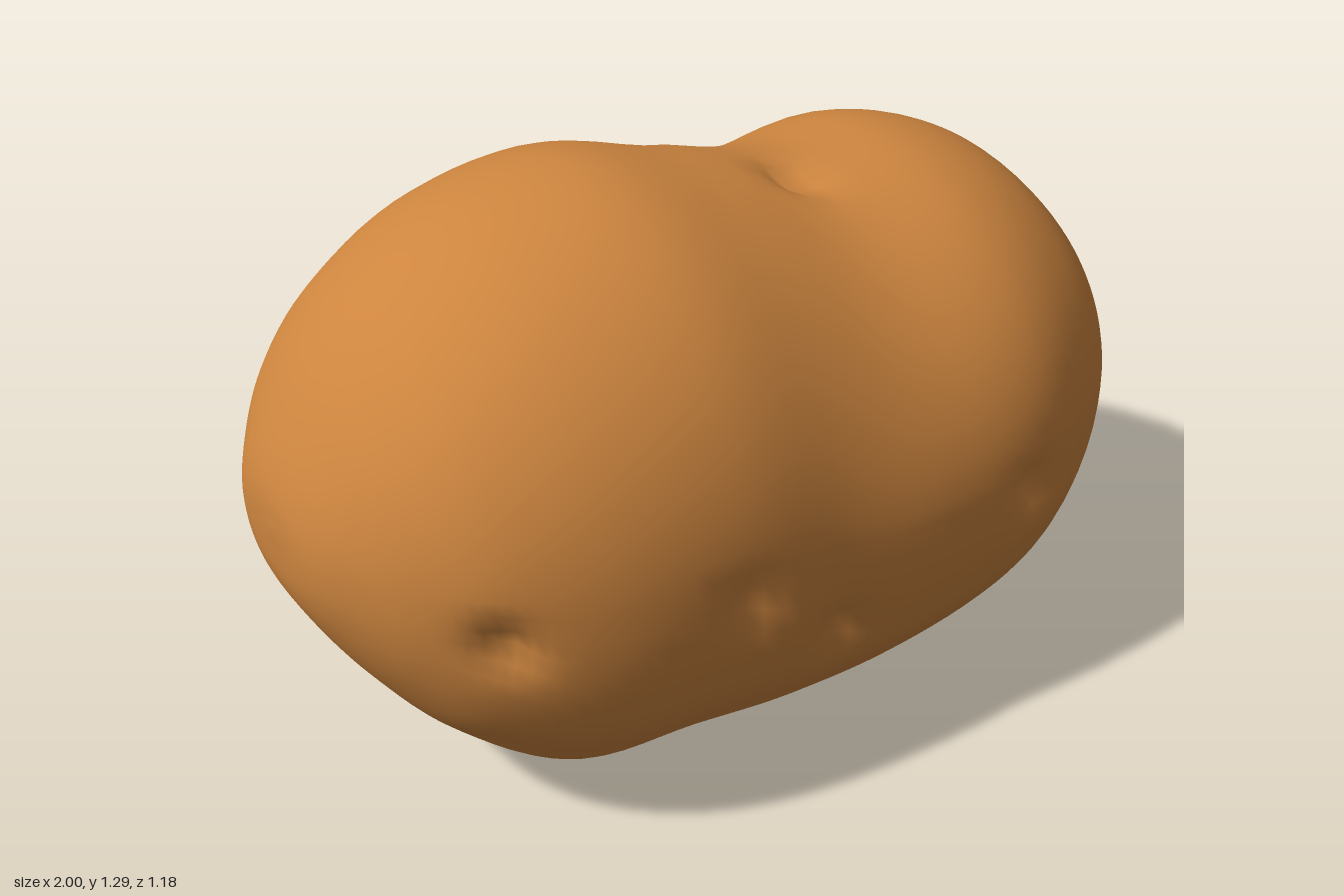
import * as THREE from 'three';
import { mergeVertices } from 'three/addons/utils/BufferGeometryUtils.js';

// Cross-sections along the length: x, top y, bottom y, front z, back z
const SECTIONS = [
  [-1, 0.71, 0.71, 0, 0],
  [-0.99, 0.79, 0.59, 0.12, -0.15],
  [-0.95, 0.89, 0.49, 0.23, -0.25],
  [-0.87, 1.02, 0.36, 0.36, -0.37],
  [-0.75, 1.14, 0.215, 0.47, -0.475],
  [-0.55, 1.25, 0.065, 0.55, -0.57],
  [-0.3, 1.295, 0.04, 0.58, -0.595],
  [-0.05, 1.245, 0.005, 0.575, -0.585],
  [0.2, 1.19, 0.02, 0.585, -0.59],
  [0.46, 1.2, 0.055, 0.57, -0.59],
  [0.65, 1.145, 0.11, 0.5, -0.52],
  [0.8, 1.03, 0.25, 0.4, -0.43],
  [0.92, 0.89, 0.41, 0.24, -0.32],
  [0.98, 0.74, 0.53, 0.12, -0.22],
  [1, 0.64, 0.64, -0.08, -0.08],
];

// Small eyes pressed into the skin: axis faced, side of that axis, position on the other two
const EYES = [
  ['z', 1, { x: -0.76, y: 0.6 }], ['z', 1, { x: -0.29, y: 0.58 }],
  ['z', 1, { x: -0.04, y: 0.4 }], ['z', 1, { x: 0.45, y: 0.58 }],
  ['z', -1, { x: -0.05, y: 0.54 }], ['z', -1, { x: -0.68, y: 0.65 }],
  ['x', 1, { y: 0.5, z: 0.07 }], ['x', 1, { y: 0.27, z: 0.33 }],
  ['x', 1, { y: 0.94, z: -0.2 }],
  ['y', 1, { x: -0.1, z: -0.2 }], ['y', 1, { x: 0.16, z: 0.09 }],
];

const RINGS = 84, SIDES = 80;

const power = (v, e) => Math.sign(v) * Math.abs(v) ** e;

// Roundness of a cross-section: below 1 is fuller than an ellipse, above 1 is slimmer
function roundness(x, sin, cos) {
  if (sin >= 0) return 1 + 0.1 * Math.exp(-(((x - 0.12) / 0.2) ** 2)); // saddle between the lobes
  return cos > 0 ? 0.9 : 0.83; // full underside, fullest at the back
}

function pressEyes(p) {
  const centre = new THREE.Vector3(p.x * 0.5, 0.65, 0);
  let depth = 0;
  for (const [axis, side, at] of EYES) {
    const height = p[axis] - (axis === 'y' ? 0.65 : 0);
    if (height * side < 0.15) continue;
    let d2 = 0;
    for (const k in at) d2 += (p[k] - at[k]) ** 2;
    depth += 0.045 * Math.exp(-d2 / 0.0025);
  }
  return p.addScaledVector(centre.sub(p).normalize(), depth);
}

function bodyGeometry() {
  // One smooth curve per edge of the body; all share the same x stations
  const edge = (a, b) => new THREE.CatmullRomCurve3(
    SECTIONS.map((s) => new THREE.Vector3(s[0], s[a], s[b])), false, 'catmullrom', 0.5);
  const upper = edge(1, 3), lower = edge(2, 4);
  const positions = [], indices = [];
  for (let i = 0; i <= RINGS; i++) {
    const u = upper.getPoint(i / RINGS), l = lower.getPoint(i / RINGS);
    const midY = (u.y + l.y) / 2, midZ = (u.z + l.z) / 2;
    for (let j = 0; j < SIDES; j++) {
      const a = (j / SIDES) * Math.PI * 2;
      const sin = Math.sin(a), cos = Math.cos(a);
      const e = roundness(u.x, sin, cos);
      const p = new THREE.Vector3(
        u.x,
        midY + power(sin, e) * (u.y - l.y) / 2,
        midZ + power(cos, e) * (u.z - l.z) / 2);
      positions.push(...pressEyes(p).toArray());
      if (i === RINGS) continue;
      const k = (j + 1) % SIDES;
      const p0 = i * SIDES + j, p1 = p0 + SIDES, q0 = i * SIDES + k, q1 = q0 + SIDES;
      indices.push(p0, p1, q0, p1, q1, q0);
    }
  }
  const geometry = new THREE.BufferGeometry();
  geometry.setAttribute('position', new THREE.Float32BufferAttribute(positions, 3));
  geometry.setIndex(indices);
  const merged = mergeVertices(geometry, 1e-4); // closes both tips
  merged.computeVertexNormals();
  return merged;
}

export function createModel() {
  const skin = new THREE.MeshStandardMaterial({ color: 0xcd853f });
  skin.name = 'potato skin';
  const body = new THREE.Mesh(bodyGeometry(), skin);
  body.name = 'potatoBody';
  const group = new THREE.Group();
  group.name = 'potato';
  group.add(body);
  return group;
}
